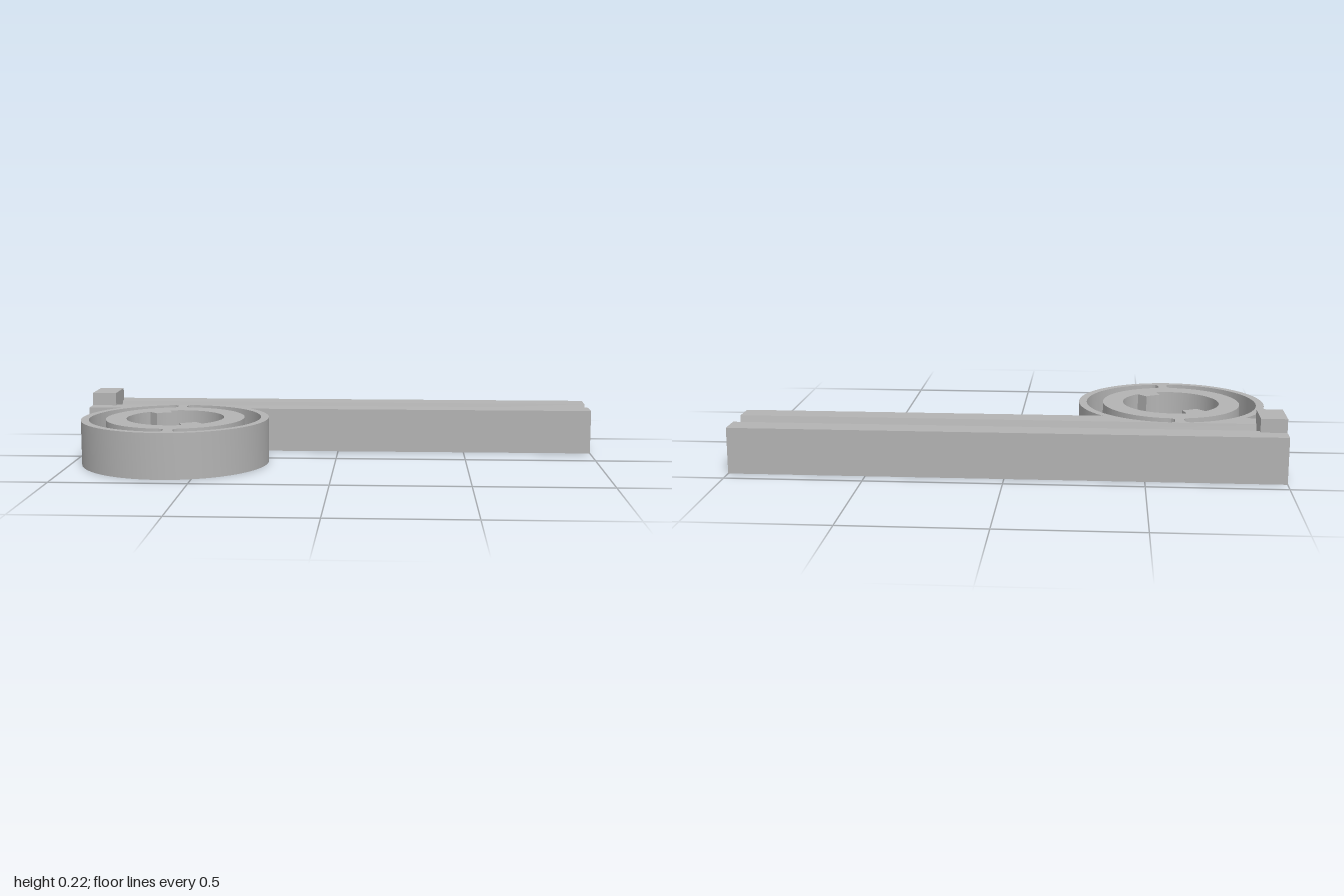
import * as THREE from 'three';
import { toCreasedNormals } from 'three/addons/utils/BufferGeometryUtils.js';

const HEIGHT = 0.17;
const CX = -0.61, CY = -0.084; // ring centre in plan (plan y = -z)
const rad = THREE.MathUtils.degToRad;
const polar = (r, a) => [CX + r * Math.cos(a), CY + r * Math.sin(a)];

// Curved slot between two angles, with rounded corners
function slot(r0, r1, a0, a1) {
  const c = 0.024, p = new THREE.Path();
  const dIn = c / r0, dOut = c / r1;
  p.moveTo(...polar(r1, a0 + dOut));
  p.absarc(CX, CY, r1, a0 + dOut, a1 - dOut, false);
  p.quadraticCurveTo(...polar(r1, a1), ...polar(r1 - c, a1));
  p.lineTo(...polar(r0 + c, a1));
  p.quadraticCurveTo(...polar(r0, a1), ...polar(r0, a1 - dIn));
  p.absarc(CX, CY, r0, a1 - dIn, a0 + dIn, true);
  p.quadraticCurveTo(...polar(r0, a0), ...polar(r0 + c, a0));
  p.lineTo(...polar(r1 - c, a0));
  p.quadraticCurveTo(...polar(r1, a0), ...polar(r1, a0 + dOut));
  return p;
}

// Round bore with two opposed teeth pointing inward
function toothedBore(r, rTooth) {
  const p = new THREE.Path();
  p.moveTo(...polar(r, rad(132)));
  for (const turn of [0, 180]) {
    p.absarc(CX, CY, r, rad(132 + turn), rad(286 + turn), false);
    p.absarc(CX, CY, rTooth, rad(286 + turn), rad(312 + turn), false);
  }
  p.closePath();
  return p;
}

// Section given as [-z, y] points, swept along x
function sweepX(points, x0, length) {
  const shape = new THREE.Shape(points.map(([u, v]) => new THREE.Vector2(u, v)));
  const geo = new THREE.ExtrudeGeometry(shape, { depth: length, bevelEnabled: false });
  return geo.rotateY(Math.PI / 2).translate(x0, 0, 0);
}

export function createModel() {
  const group = new THREE.Group();
  const grey = new THREE.MeshStandardMaterial({ color: 0xb3b3b3 });
  grey.name = 'plain grey';
  const add = (name, geo) => {
    const mesh = new THREE.Mesh(geo, grey);
    mesh.name = name;
    group.add(mesh);
  };

  // Front strip of the bar merged with the slotted ring
  const R = 0.356, front = 0.157, back = 0.246;
  const hit = Math.asin((front - CY) / R);
  const plan = new THREE.Shape();
  plan.moveTo(-1, back);
  plan.lineTo(-1, front);
  plan.absarc(CX, CY, R, Math.PI - hit, Math.PI * 2 + hit, false);
  plan.lineTo(1, front);
  plan.lineTo(1, back);
  plan.closePath();
  const web = 0.06; // half angle of the two thin webs
  for (const start of [94, 274]) {
    plan.holes.push(slot(0.263, 0.326, rad(start) + web, rad(start + 180) - web));
  }
  plan.holes.push(toothedBore(0.185, 0.136));
  const ring = new THREE.ExtrudeGeometry(plan, { depth: HEIGHT, bevelEnabled: false, curveSegments: 48 });
  ring.rotateX(-Math.PI / 2);
  add('ringAndFrontRail', toCreasedNormals(ring, 0.5));

  // Rear of the bar with the tapered groove
  add('groovedRail', sweepX([
    [back, 0], [0.44, 0], [0.44, HEIGHT], [0.347, HEIGHT],
    [0.327, 0.085], [0.265, 0.085], [back, HEIGHT],
  ], -1, 2));

  // Sliding key: tapered stem in the groove with a wider cap
  add('slidingKey', sweepX([
    [0.265, 0.085], [0.327, 0.085], [0.347, HEIGHT], [0.371, HEIGHT],
    [0.371, 0.22], [0.221, 0.22], [0.221, HEIGHT], [back, HEIGHT],
  ], -1, 0.095));

  return group;
}
